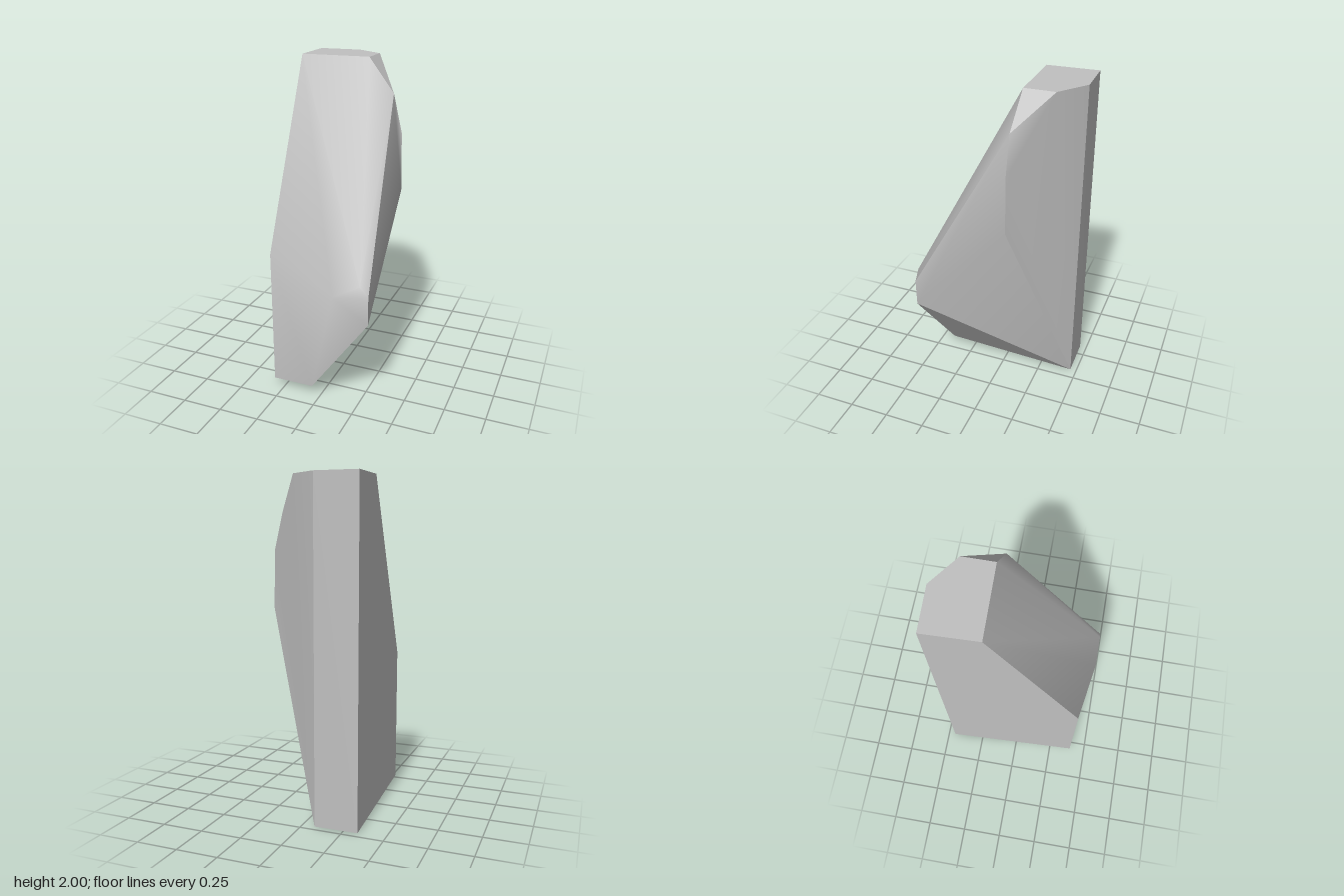
import * as THREE from 'three';

// Corner points of the faceted stone
const P = {
  topFL: [-0.325, 2, -0.14], topFR: [0.1, 2, -0.15], topR: [0.1, 2, -0.335],
  topBR: [-0.075, 2, -0.463], topBL: [-0.335, 2, -0.455],
  shoulder: [0.26, 1.8, -0.135], sideHigh: [0.315, 1.57, -0.135], sideLow: [0.322, 1.22, -0.135],
  noseTop: [0.28, 0.82, 0.458], noseSide: [0.33, 0.76, 0.456], noseLow: [0.33, 0.59, 0.455],
  noseMid: [0.115, 0.73, 0.462], noseL: [-0.31, 0.9, 0.395],
  footFL: [-0.31, 0.055, 0.395], footFR: [-0.055, 0.055, 0.395],
  footBR: [-0.075, 0, -0.46], footBL: [-0.335, 0, -0.455],
};

// Each patch is smooth inside and sharp at its border
const patches = {
  top: ['topBL topFL topFR topR topBR'],
  front: [
    'topFL noseL noseMid', 'topFL noseMid noseTop topFR', 'topFR noseTop shoulder',
    'noseTop noseSide shoulder', 'noseL footFL footFR noseMid',
    'footFR noseLow noseMid', 'noseMid noseLow noseSide noseTop',
  ],
  shoulderChamfer: ['topFR shoulder topR'],
  leftSide: ['shoulder noseSide noseLow sideLow sideHigh', 'noseLow footBR sideLow'],
  lowerLeftFacet: ['footFR footBR noseLow'],
  backLeftSide: ['footBR topBR topR sideHigh sideLow', 'topR shoulder sideHigh'],
  rightSide: ['topBL footBL footFL noseL topFL'],
  back: ['topBR footBR footBL topBL'],
  base: ['footBL footBR footFR footFL'],
};

function patchGeometry(faces) {
  const names = [...new Set(faces.join(' ').split(' '))];
  const index = [];
  for (const face of faces) {
    const ids = face.split(' ').map((n) => names.indexOf(n));
    for (let i = 1; i < ids.length - 1; i++) index.push(ids[0], ids[i], ids[i + 1]);
  }
  const geometry = new THREE.BufferGeometry();
  geometry.setAttribute('position', new THREE.Float32BufferAttribute(names.flatMap((n) => P[n]), 3));
  geometry.setIndex(index);
  geometry.computeVertexNormals();
  return geometry;
}

export function createModel() {
  const stone = new THREE.MeshStandardMaterial({ color: 0xc0c0c0 });
  stone.name = 'stone grey';
  const group = new THREE.Group();
  group.name = 'standingStone';
  for (const [name, faces] of Object.entries(patches)) {
    const mesh = new THREE.Mesh(patchGeometry(faces), stone);
    mesh.name = name;
    group.add(mesh);
  }
  return group;
}
